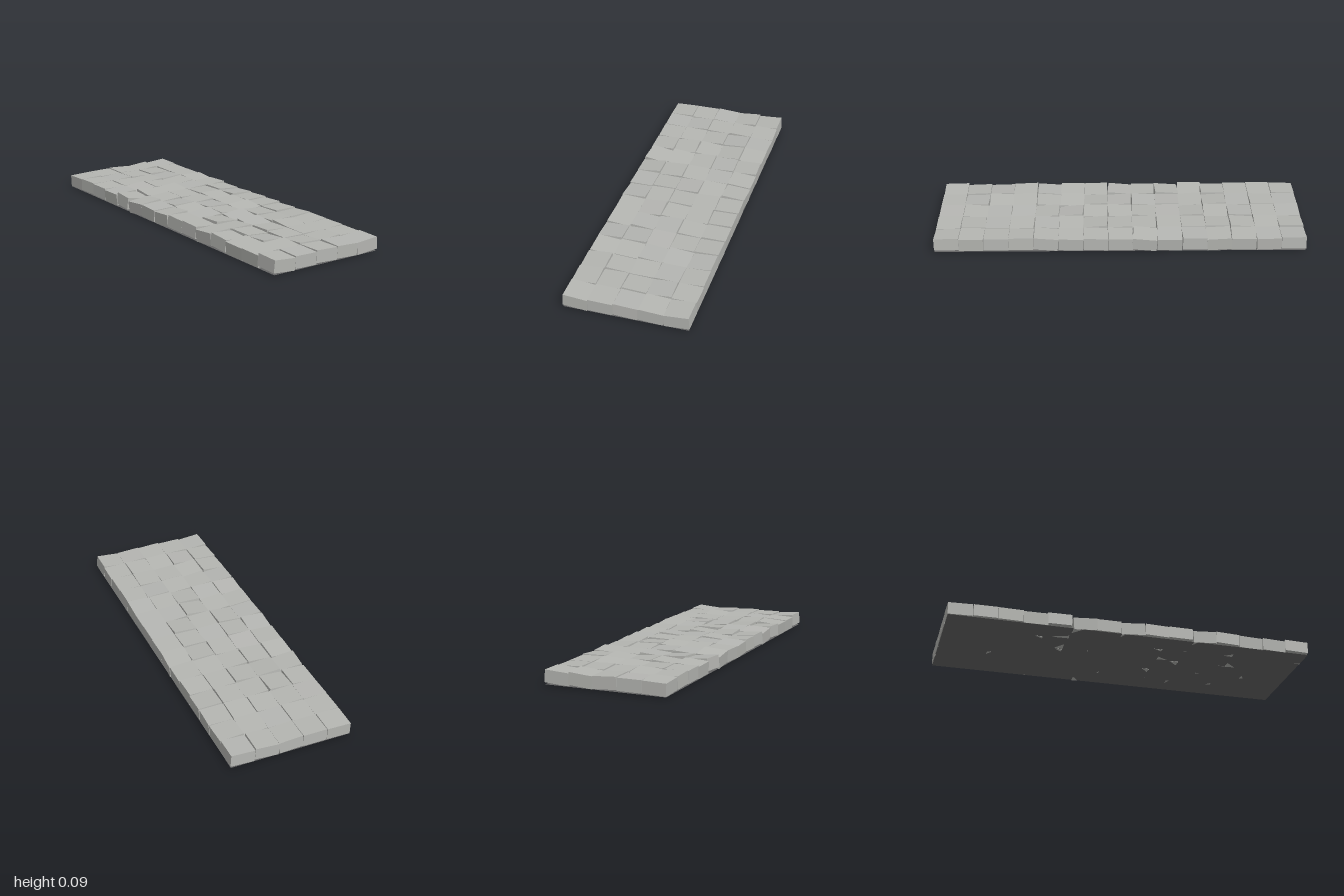
import * as THREE from 'three';

// Small seeded generator, returns -1..1
function makeRandom(seed) {
  let s = seed;
  return () => {
    s = (s * 16807) % 2147483647;
    return (s / 2147483647) * 2 - 1;
  };
}

export function createModel() {
  const model = new THREE.Group();
  model.name = 'cobblePath';

  const stone = new THREE.MeshStandardMaterial({ color: 0xb5b6b2 });
  stone.name = 'light grey stone';
  const grout = new THREE.MeshStandardMaterial({ color: 0x666666, side: THREE.DoubleSide });
  grout.name = 'dark grout';

  const columns = 5, rows = 15, pitch = 0.1333;
  const block = new THREE.BoxGeometry(0.1315, 0.066, 0.1315);
  const random = makeRandom(4711);

  // Grid of paving stones, each settled at a slightly different tilt
  for (let r = 0; r < rows; r++) {
    for (let c = 0; c < columns; c++) {
      const paver = new THREE.Mesh(block, stone);
      paver.name = `pavingStone_${r + 1}_${c + 1}`;
      paver.position.set((c - (columns - 1) / 2) * pitch, 0.047, (r - (rows - 1) / 2) * pitch);
      const end = r === 0 || r === rows - 1;
      paver.rotation.set(random() * (end ? 0.03 : 0.09), random() * (end ? 0.006 : 0.035), random() * 0.09);
      model.add(paver);
    }
  }

  // One loose stone turned outwards on the right-hand edge
  model.getObjectByName('pavingStone_5_1').rotation.set(0.03, -0.08, -0.11);

  // Thin dark bed the stones are set in
  const bed = new THREE.Mesh(new THREE.PlaneGeometry(0.662, 1.994), grout);
  bed.name = 'groutBed';
  bed.rotation.x = -Math.PI / 2;
  bed.position.y = 0.008;
  model.add(bed);

  return model;
}
